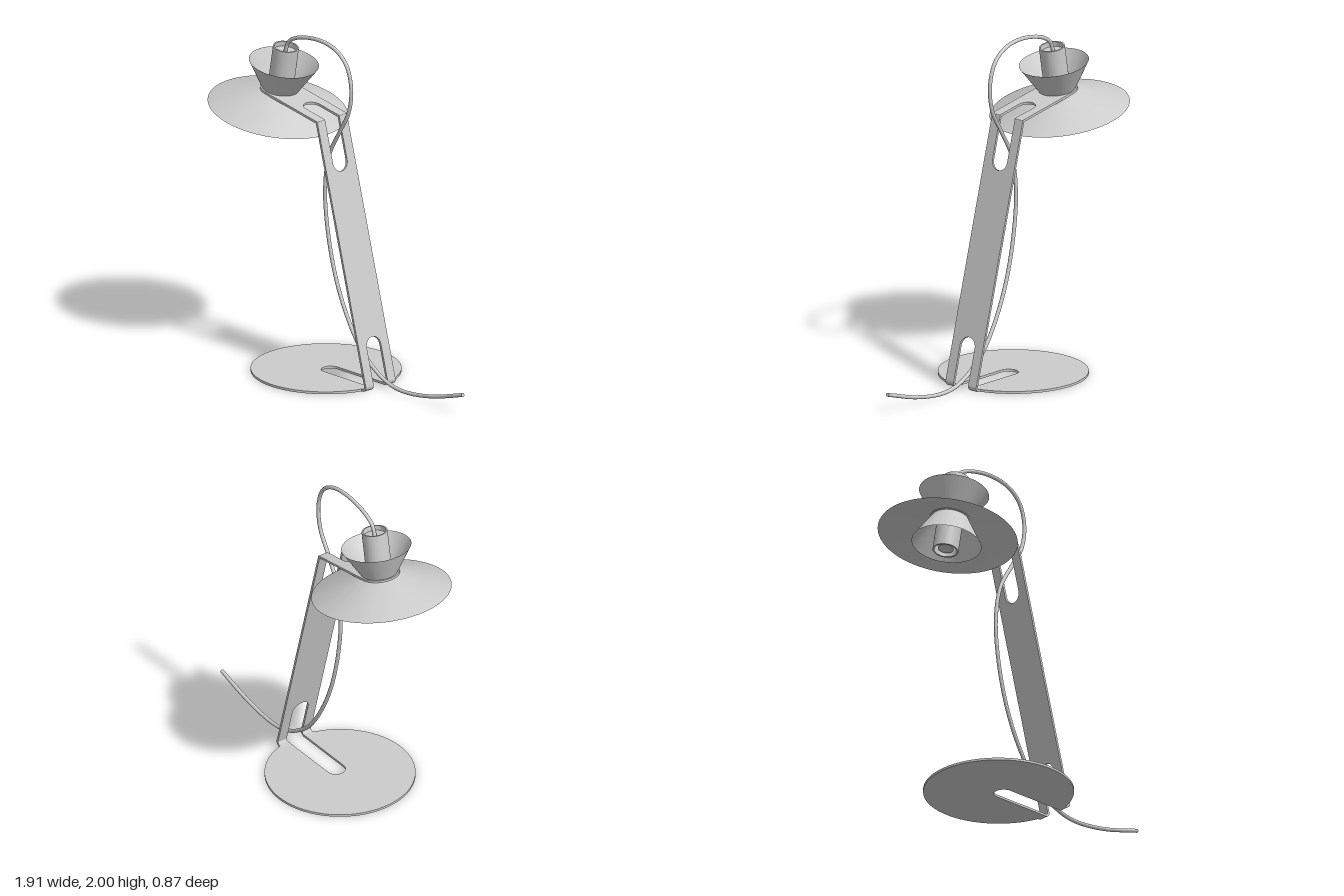
import * as THREE from 'three';
import { toCreasedNormals } from 'three/addons/utils/BufferGeometryUtils.js';

const TILT = -10 * Math.PI / 180;
const T = 0.014;      // sheet thickness
const W = 0.118;      // half width of the strip
const S = 0.056;      // half width of the slots

export function createModel() {
  const model = new THREE.Group();
  const metal = new THREE.MeshStandardMaterial({ color: 0xcccccc, side: THREE.DoubleSide });
  metal.name = 'greyMetal';

  const add = (parent, name, geometry) => {
    const mesh = new THREE.Mesh(geometry, metal);
    mesh.name = name;
    parent.add(mesh);
    return mesh;
  };
  const v2 = (pts) => pts.map(([x, y]) => new THREE.Vector2(x, y));
  const lathe = (pts) => toCreasedNormals(new THREE.LatheGeometry(v2(pts), 72), 0.6);

  // Flat sheet: shape x runs along the given angle, shape y runs across in z
  const sheet = (shape, angle, x, y) => toCreasedNormals(
    new THREE.ExtrudeGeometry(shape, { depth: T, bevelEnabled: false, curveSegments: 32 })
      .translate(0, 0, -T / 2).rotateX(-Math.PI / 2).rotateZ(angle).translate(x, y, 0), 0.6);

  // Two mirrored legs extruded across z from a side profile
  const legs = (name, profile) => {
    for (const z of [-W, S]) {
      const g = new THREE.ExtrudeGeometry(profile, { depth: W - S, bevelEnabled: false, curveSegments: 12 });
      add(model, name, toCreasedNormals(g.translate(0, 0, z), 0.6));
    }
  };

  // Lamp head, tilted about z
  const hx = -0.56, hy = 1.5;
  const head = new THREE.Group();
  head.name = 'lampHead';
  head.position.set(hx, hy, 0);
  head.rotation.z = TILT;
  model.add(head);
  add(head, 'wideShade', lathe([[0.406, 0], [0.4, 0.0035], [0.115, 0.115]]));
  add(head, 'upperCup', lathe([[0.107, 0.124], [0.203, 0.29]]));
  add(head, 'lowerShade', lathe([[0.203, -0.056], [0.107, 0.112]]));
  add(head, 'socketTube', lathe([
    [0, -0.04], [0.066, -0.04], [0.066, -0.102], [0.075, -0.102],
    [0.075, 0.39], [0.066, 0.39], [0.066, 0.36], [0, 0.36],
  ]));
  add(head, 'bulbHolder', new THREE.CylinderGeometry(0.045, 0.045, 0.05, 32).translate(0, -0.065, 0));

  // Rounded plate that holds the head, slotted toward the bend
  const plateT = 0.118, plateLen = 0.43;
  const ox = hx - Math.sin(TILT) * plateT, oy = hy + Math.cos(TILT) * plateT;
  const bend = new THREE.Vector2(ox + Math.cos(TILT) * plateLen, oy + Math.sin(TILT) * plateLen);
  const plate = new THREE.Shape();
  plate.moveTo(plateLen, W);
  plate.lineTo(0, W);
  plate.absarc(0, 0, W, Math.PI / 2, Math.PI * 1.5, false);
  plate.lineTo(plateLen, -W);
  plate.lineTo(plateLen, -S);
  plate.absarc(0.275, 0, S, Math.PI * 1.5, Math.PI / 2, true);
  plate.lineTo(plateLen, S);
  add(model, 'headPlate', sheet(plate, TILT, ox, oy));

  // Leaning strip, slotted at both ends
  const footX = 0.266, footR = 0.02, baseY = 0.011;
  const foot = new THREE.Vector2(footX + footR * 0.968, baseY + footR * 1.25);
  const len = foot.distanceTo(bend);
  const lean = Math.atan2(foot.y - bend.y, foot.x - bend.x);
  const topSlot = 0.255, lowSlot = len - 0.215;
  const strip = new THREE.Shape();
  strip.moveTo(0, -W);
  strip.lineTo(len, -W);
  strip.lineTo(len, -S);
  strip.absarc(lowSlot, 0, S, Math.PI * 1.5, Math.PI / 2, true);
  strip.lineTo(len, S);
  strip.lineTo(len, W);
  strip.lineTo(0, W);
  strip.lineTo(0, S);
  strip.absarc(topSlot, 0, S, Math.PI / 2, -Math.PI / 2, true);
  strip.lineTo(0, -S);
  add(model, 'armStrip', sheet(strip, lean, bend.x, bend.y));

  // Folds at the top and foot of the strip
  const topFold = new THREE.Shape();
  topFold.absarc(bend.x, bend.y, T / 2, 0, Math.PI * 2, false);
  legs('topFold', topFold);
  const footFold = new THREE.Shape();
  const normal = lean + Math.PI / 2;
  footFold.moveTo(0.22, baseY - T / 2);
  footFold.absarc(footX, baseY + footR, footR + T / 2, -Math.PI / 2, normal, false);
  footFold.absarc(footX, baseY + footR, footR - T / 2, normal, -Math.PI / 2, true);
  footFold.lineTo(0.22, baseY + T / 2);
  legs('footFold', footFold);

  // Round base with a slot open toward the strip
  const R = 0.434, a = Math.asin(S / R);
  const base = new THREE.Shape();
  base.absarc(0, 0, R, a, Math.PI * 2 - a, false);
  base.absarc(0.04, 0, S, Math.PI * 1.5, Math.PI / 2, true);
  add(model, 'base', sheet(base, 0, -0.16, baseY));

  // Cord looping from the tube, through both slots, to the floor
  const path = [
    [-0.5, 1.855], [-0.475, 1.915], [-0.4, 1.96], [-0.22, 1.988], [-0.08, 1.96], [0.005, 1.89],
    [0.045, 1.76], [0.025, 1.61], [-0.05, 1.475], [-0.14, 1.31], [-0.175, 1.1], [-0.155, 0.85],
    [-0.09, 0.58], [0, 0.37], [0.12, 0.19], [0.27, 0.072], [0.38, 0.03], [0.5, 0.021],
    [0.7, 0.048], [0.95, 0.118],
  ].map(([x, y], i) => new THREE.Vector3(x, y, i < 8 ? -0.003 : -0.003 - 0.0018 * (i - 8)));
  const curve = new THREE.CatmullRomCurve3(path);
  add(model, 'cord', new THREE.TubeGeometry(curve, 180, 0.0115, 12));
  const end = add(model, 'cordEnd', new THREE.CircleGeometry(0.0115, 12));
  end.position.copy(path[path.length - 1]);
  end.lookAt(end.position.clone().add(curve.getTangent(1)));

  return model;
}
